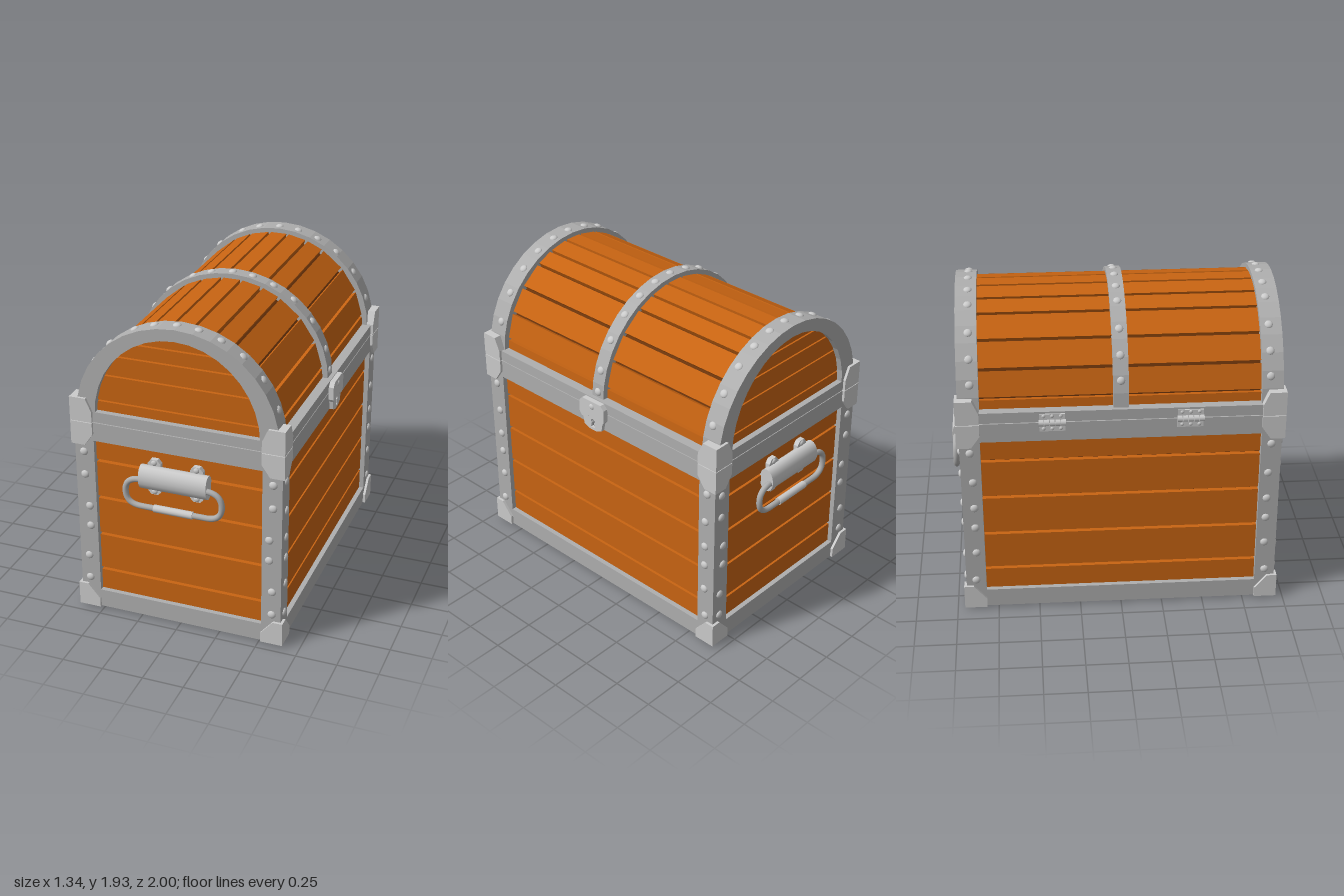
import * as THREE from 'three';

const mat = (color) => new THREE.MeshStandardMaterial({ color });
const wood = mat(0xc86412), groove = mat(0x6a330a), iron = mat(0xaeaeae), steel = mat(0xcccccc), dark = mat(0x555555);

const LID_Y = 1.32; // centre height of the lid's arc
const RIVET = new THREE.SphereGeometry(0.025, 12, 5, 0, Math.PI * 2, 0, Math.PI / 2).scale(1, 0.6, 1);

function add(parent, name, geometry, material, x = 0, y = 0, z = 0) {
  const mesh = new THREE.Mesh(geometry, material);
  mesh.name = name;
  mesh.position.set(x, y, z);
  parent.add(mesh);
  return mesh;
}

// Box given by its limits on each axis
function block(parent, name, material, [x0, x1], [y0, y1], [z0, z1]) {
  return add(parent, name, new THREE.BoxGeometry(x1 - x0, y1 - y0, z1 - z0), material,
    (x0 + x1) / 2, (y0 + y1) / 2, (z0 + z1) / 2);
}

// Outline in x, y extruded from z0 to z1
function slab(parent, name, material, points, z0, z1, holes = []) {
  const shape = new THREE.Shape(points.map(([x, y]) => new THREE.Vector2(x, y)));
  shape.holes = holes;
  const geometry = new THREE.ExtrudeGeometry(shape, { depth: z1 - z0, bevelEnabled: false, curveSegments: 8 });
  return add(parent, name, geometry, material, 0, 0, z0);
}

function rivet(parent, x, y, z, direction, size = 1) {
  const mesh = add(parent, 'rivet', RIVET, steel, x, y, z);
  mesh.quaternion.setFromUnitVectors(new THREE.Vector3(0, 1, 0), direction);
  mesh.scale.setScalar(size);
}

const OUT = new THREE.Vector3(0, 0, 1);

// Points along the lid's arc, angles in degrees
function arc(rx, ry, from = 0, to = 180, steps = 18) {
  return Array.from({ length: steps + 1 }, (_, i) => {
    const a = THREE.MathUtils.degToRad(from + (to - from) * i / steps);
    return [rx * Math.cos(a), LID_Y + ry * Math.sin(a)];
  });
}

// One wall: half width w, outer face at z = d, +z outward
function makeWall(name, w, d, angle, rivets) {
  const wall = new THREE.Group();
  wall.name = name;
  wall.rotation.y = angle;
  const inner = w - 0.12, e = w + 0.016;

  // Planks with narrow gaps
  const edges = [0.03, 0.27, 0.515, 0.765, 1.01, 1.2];
  for (let i = 0; i < 5; i++)
    block(wall, 'plank', wood, [-w + 0.05, w - 0.05], [edges[i] + 0.009, edges[i + 1] - 0.009], [d - 0.08, d - 0.03]);

  // Rails of the frame, with a seam under the lid
  for (const y of [[0.015, 0.13], [1.15, 1.267], [1.272, 1.337]])
    block(wall, 'rail', iron, [-w, w], y, [d - 0.075, d]);

  for (const s of [-1, 1]) {
    block(wall, 'post', iron, [s * (w - 0.06) - 0.06, s * (w - 0.06) + 0.06], [0.02, 1.26], [d - 0.06, d]);
    for (const [inset, y] of rivets) rivet(wall, s * (w - inset), y, d, OUT);
    // Corner brackets: foot, upper body corner and lid corner
    const outlines = [
      [[e, 0.015], [e, 0.165], [e - 0.06, 0.165], [inner, 0.075], [inner, 0.015]],
      [[e, 1.268], [e, 1.122], [e - 0.085, 1.122], [inner, 1.195], [inner, 1.268]],
      [[e, 1.272], [e, 1.42], [e - 0.1, 1.42], [inner, 1.34], [inner, 1.272]],
    ];
    for (const outline of outlines)
      slab(wall, 'cornerBracket', steel, outline.map(([x, y]) => [s * x, y]), d - 0.03, d + 0.016);
  }
  return wall;
}

// Swinging handle below a half-barrel mount; s keeps both ends aligned
function makeHandle(s) {
  const handle = new THREE.Group();
  handle.name = 'handle';
  handle.position.x = -0.01 * s;
  const barrel = new THREE.CylinderGeometry(0.075, 0.075, 0.415, 16).rotateZ(Math.PI / 2).scale(1, 1, 0.67);
  add(handle, 'handleMount', barrel, steel, 0, 0.985, 0.95);
  for (const x of [-0.13, 0.13]) {
    slab(handle, 'mountTab', steel, [[-0.04, 0.89], [-0.02, 0.87], [0.02, 0.87], [0.04, 0.89],
      [0.04, 1.07], [0.02, 1.095], [-0.02, 1.095], [-0.04, 1.07]], 0.905, 0.94).position.x = x;
    for (const y of [0.89, 1.075]) rivet(handle, x, y, 0.94, OUT, 0.7);
  }
  const path = new THREE.CurvePath();
  const v = (x, y) => new THREE.Vector3(x, y, 0.977);
  const stops = [v(-0.18, 0.975), v(-0.2, 0.975), v(-0.297, 0.975), v(-0.297, 0.887), v(-0.297, 0.8), v(-0.2, 0.8)];
  const flip = (p) => new THREE.Vector3(-p.x, p.y, p.z);
  const [a, b, c, m, f, g] = stops;
  path.add(new THREE.LineCurve3(a, b));
  path.add(new THREE.QuadraticBezierCurve3(b, c, m));
  path.add(new THREE.QuadraticBezierCurve3(m, f, g));
  path.add(new THREE.LineCurve3(g, flip(g)));
  path.add(new THREE.QuadraticBezierCurve3(flip(g), flip(f), flip(m)));
  path.add(new THREE.QuadraticBezierCurve3(flip(m), flip(c), flip(b)));
  path.add(new THREE.LineCurve3(flip(b), flip(a)));
  add(handle, 'handleRing', new THREE.TubeGeometry(path, 64, 0.018, 10), iron);
  add(handle, 'handleGrip', new THREE.CylinderGeometry(0.023, 0.023, 0.24, 12).rotateZ(Math.PI / 2), steel, 0, 0.8, 0.977);
  return handle;
}

function makeLid() {
  const lid = new THREE.Group();
  lid.name = 'lid';
  slab(lid, 'lidCore', groove, arc(0.548, 0.54), -0.868, 0.868);

  // Lengthwise planks following the arc
  const angles = [0, 8, 25, 42, 59, 71, 84, 96, 109, 121, 138, 155, 172, 180];
  for (let i = 0; i < angles.length - 1; i++) {
    const from = angles[i] + 0.9, to = angles[i + 1] - 0.9;
    slab(lid, 'lidPlank', wood, [...arc(0.578, 0.572, from, to, 1), ...arc(0.53, 0.52, to, from, 1)], -0.87, 0.87);
  }

  // End planks, cut to the arc
  const levels = [1.33, 1.4, 1.565, 1.69, 1.78, 1.86];
  const half = (y) => 0.53 * Math.sqrt(Math.max(0, 1 - ((y - LID_Y) / 0.545) ** 2));
  for (let i = 0; i < 5; i++) {
    const y0 = levels[i] + 0.005, y1 = levels[i + 1] - 0.005;
    const side = [0, 0.25, 0.5, 0.75, 1].map((t) => y0 + (y1 - y0) * t).map((y) => [half(y), y]);
    const outline = [...side, ...side.map(([x, y]) => [-x, y]).reverse()];
    slab(lid, 'lidEndPlank', wood, outline, 0.865, 0.905);
    slab(lid, 'lidEndPlank', wood, outline, -0.905, -0.865);
  }

  // Riveted hoops: one at each end and one in the middle
  for (const [z0, z1, rx, ry] of [[-0.94, -0.815, 0.5, 0.53], [-0.045, 0.045, 0.555, 0.55], [0.815, 0.94, 0.5, 0.53]]) {
    slab(lid, 'hoop', iron, [...arc(0.612, 0.6), ...arc(rx, ry).reverse()], z0, z1);
    const z = z0 < -0.5 ? -0.865 : z1 > 0.5 ? 0.865 : 0;
    for (const deg of [5, 18, 36, 52, 66, 79, 91, 104, 116, 134, 149, 163]) {
      const a = THREE.MathUtils.degToRad(deg), x = Math.cos(a), y = Math.sin(a);
      rivet(lid, 0.608 * x, LID_Y + 0.596 * y, z, new THREE.Vector3(x, y, 0));
    }
  }
  return lid;
}

// Lock with a keyhole, built facing +z
function makeLock() {
  const lock = new THREE.Group();
  lock.name = 'lock';
  const mirror = (half) => [...half, ...half.map(([x, y]) => [-x, y]).reverse()];
  const keyhole = new THREE.Path();
  keyhole.absarc(0, 1.193, 0.014, -0.9, Math.PI + 0.9);
  keyhole.lineTo(-0.016, 1.15);
  keyhole.lineTo(0.016, 1.15);
  slab(lock, 'lockPlate', steel, mirror([[0.03, 1.132], [0.07, 1.15], [0.08, 1.2], [0.09, 1.25]]), 0.63, 0.658, [keyhole]);
  block(lock, 'keyholeBack', dark, [-0.03, 0.03], [1.14, 1.22], [0.63, 0.64]);
  slab(lock, 'lockFlap', steel, mirror([[0.03, 1.222], [0.045, 1.205], [0.085, 1.205], [0.1, 1.225], [0.1, 1.305], [0.075, 1.332]])
    , 0.63, 0.666);
  rivet(lock, 0, 1.295, 0.662, OUT, 0.8);
  return lock;
}

// Hinge with interlocking knuckles, built facing +z
function makeHinge(x) {
  const hinge = new THREE.Group();
  hinge.name = 'hinge';
  hinge.position.x = x;
  for (const y of [[1.215, 1.265], [1.275, 1.325]]) {
    block(hinge, 'hingeLeaf', steel, [-0.075, 0.075], y, [0.625, 0.643]);
    for (const rx of [-0.05, 0, 0.05]) rivet(hinge, rx, (y[0] + y[1]) / 2 + (y[0] < 1.25 ? -0.008 : 0.012), 0.643, OUT, 0.45);
  }
  for (let i = -2; i <= 2; i++)
    add(hinge, 'knuckle', new THREE.CylinderGeometry(0.019, 0.019, 0.028, 10).rotateZ(Math.PI / 2), steel, i * 0.032, 1.272, 0.648);
  return hinge;
}

export function createModel() {
  const chest = new THREE.Group();
  chest.name = 'chest';
  block(chest, 'core', groove, [-0.575, 0.575], [0.04, 1.33], [-0.88, 0.88]);

  const endRivets = [[0.055, 1.07], [0.055, 0.92], [0.075, 0.71], [0.075, 0.575], [0.055, 0.365], [0.055, 0.21]];
  const sideRivets = [[0.06, 1.08], [0.07, 0.885], [0.07, 0.71], [0.07, 0.575], [0.07, 0.4], [0.06, 0.205]];
  for (const s of [1, -1]) {
    const end = makeWall(s > 0 ? 'frontWall' : 'backWall', 0.635, 0.94, s > 0 ? 0 : Math.PI, endRivets);
    end.add(makeHandle(s));
    const side = makeWall(s > 0 ? 'leftWall' : 'rightWall', 0.94, 0.635, s * Math.PI / 2, sideRivets);
    if (s > 0) side.add(makeLock());
    else side.add(makeHinge(-0.4), makeHinge(0.4));
    chest.add(end, side);

    // Underside frame and its rivets
    block(chest, 'bottomRail', iron, [-0.63, 0.63], [0.015, 0.06], [s * 0.88 - 0.055, s * 0.88 + 0.055]);
    block(chest, 'bottomRail', iron, [s * 0.575 - 0.055, s * 0.575 + 0.055], [0.015, 0.06], [-0.93, 0.93]);
    for (const x of [-0.44, -0.25, 0, 0.25, 0.44]) rivet(chest, x, 0.015, s * 0.88, new THREE.Vector3(0, -1, 0));
  }

  // Bottom boards
  for (let i = -2; i <= 2; i++)
    block(chest, 'bottomBoard', wood, [i * 0.22 - 0.102, i * 0.22 + 0.102], [0.028, 0.06], [-0.84, 0.84]);

  chest.add(makeLid());
  return chest;
}
